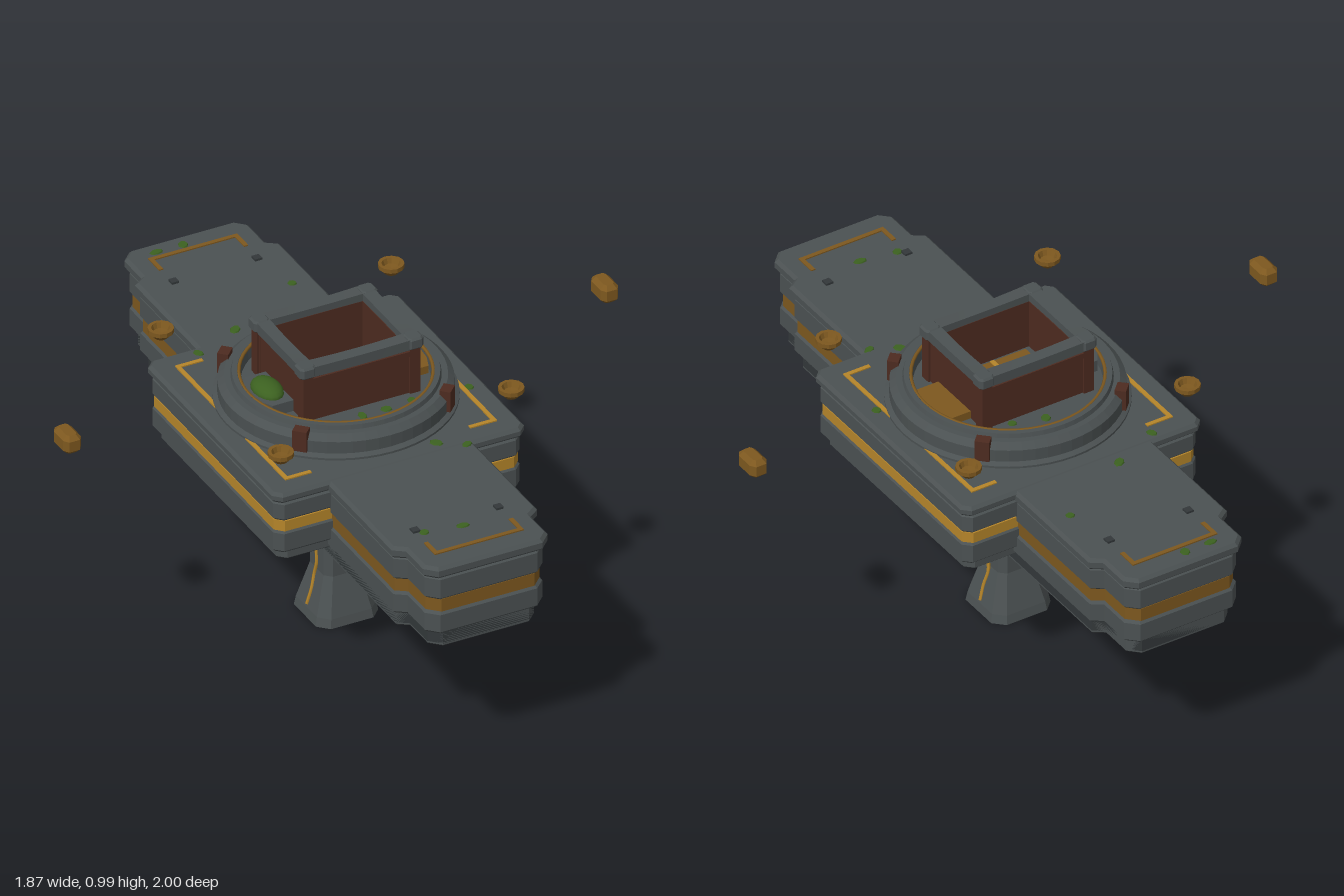
import * as THREE from 'three';

const mat = (name, color, extra = {}) => {
  const m = new THREE.MeshStandardMaterial({ color, ...extra });
  m.name = name;
  return m;
};

export function createModel() {
  const root = new THREE.Group();
  root.name = 'floatingShrine';
  const stone = mat('stone', 0x4b5152);
  const darkStone = mat('dark stone', 0x33383a);
  const gold = mat('gold', 0xb5852a);
  const bronze = mat('bronze', 0x7d581f);
  const rust = mat('rust', 0x4d2b20);
  const moss = mat('moss', 0x3c6120);
  const ringStone = mat('ring stone', 0x4a5051, { flatShading: true, side: THREE.DoubleSide });

  const add = (name, geo, m, x = 0, y = 0, z = 0, ry = 0) => {
    const mesh = new THREE.Mesh(geo, m);
    mesh.name = name;
    mesh.position.set(x, y, z);
    mesh.rotation.y = ry;
    root.add(mesh);
    return mesh;
  };
  const box = (name, m, w, h, d, x, y, z, ry = 0) =>
    add(name, new THREE.BoxGeometry(w, h, d), m, x, y, z, ry);

  // Mirror one quarter of a plan outline into all four quadrants
  const mirror = (q) => {
    const r = [...q].reverse();
    return [...q, ...r.map(([x, z]) => [-x, z]), ...q.map(([x, z]) => [-x, -z]), ...r.map(([x, z]) => [x, -z])];
  };
  // Horizontal slab with bevelled edges
  const slab = (name, m, pts, y0, y1, b = 0) => {
    const shape = new THREE.Shape(pts.map(([x, z]) => new THREE.Vector2(x, -z)));
    const geo = new THREE.ExtrudeGeometry(shape, {
      depth: y1 - y0 - 2 * b, bevelEnabled: b > 0, bevelSize: b, bevelThickness: b, bevelOffset: -b, bevelSegments: 1,
    });
    geo.rotateX(-Math.PI / 2);
    return add(name, geo, m, 0, y0 + b, 0);
  };
  const longPlan = (i) => mirror([[0.245 - i, 0.83 - i], [0.21 - i, 0.855 - i], [0.21 - i, 0.965 - i], [0.175 - i, 1 - i]]);
  const widePlan = (i) => mirror([[0.425 - i, 0.4 - i], [0.4 - i, 0.425 - i]]);

  // Long hull, stacked in layers
  slab('longCore', darkStone, longPlan(0.03), 0.46, 0.74);
  slab('longBase', stone, longPlan(0.03), 0.45, 0.51, 0.005);
  slab('longLower', stone, longPlan(0.012), 0.505, 0.585, 0.01);
  slab('longBand', bronze, longPlan(0.018), 0.583, 0.627);
  slab('longUpper', stone, longPlan(0.012), 0.625, 0.71, 0.01);
  slab('longCap', stone, longPlan(0), 0.71, 0.75, 0.01);

  // Wide middle block
  slab('wideCore', darkStone, widePlan(0.035), 0.505, 0.745);
  slab('wideBase', stone, widePlan(0.03), 0.5, 0.54, 0.005);
  slab('wideLower', stone, widePlan(0.01), 0.535, 0.615, 0.01);
  slab('wideBand', gold, widePlan(0.014), 0.612, 0.648);
  slab('wideUpper', stone, widePlan(0.01), 0.647, 0.718, 0.01);
  slab('wideCap', stone, widePlan(0), 0.718, 0.753, 0.01);

  // Inlaid lines and bolts on the deck
  for (const s of [-1, 1]) {
    box('endInlay', bronze, 0.3, 0.006, 0.014, 0, 0.751, s * 0.92);
    box('sideInlay', gold, 0.014, 0.006, 0.7, s * 0.35, 0.754, 0);
    for (const t of [-1, 1]) {
      box('endInlayLeg', bronze, 0.014, 0.006, 0.07, t * 0.143, 0.751, s * 0.89);
      box('sideInlayLeg', gold, 0.09, 0.006, 0.014, s * 0.312, 0.754, t * 0.35);
      box('deckBolt', darkStone, 0.024, 0.01, 0.024, t * 0.14, 0.752, s * 0.78);
    }
  }

  // Round collar with its sunken floor and bronze lip
  const profile = [[0.37, 0.745], [0.37, 0.76], [0.355, 0.768], [0.355, 0.808], [0.335, 0.826],
    [0.316, 0.826], [0.312, 0.84], [0.296, 0.84], [0.29, 0.834], [0.285, 0.8], [0, 0.8]];
  add('collar', new THREE.LatheGeometry(profile.map(([x, y]) => new THREE.Vector2(x, y)), 56), ringStone);
  const lip = new THREE.TorusGeometry(0.291, 0.006, 6, 56);
  lip.rotateX(Math.PI / 2);
  add('collarLip', lip, bronze, 0, 0.836, 0);
  for (let k = 0; k < 4; k++) {
    const a = Math.PI / 4 + k * Math.PI / 2;
    box('collarClamp', rust, 0.035, 0.07, 0.045, 0.348 * Math.cos(a), 0.806, 0.348 * Math.sin(a), -a);
  }

  // Chest walls and corner posts
  for (const s of [-1, 1]) {
    box('chestLongWall', rust, 0.38, 0.165, 0.035, 0, 0.8825, s * 0.143);
    box('chestShortWall', rust, 0.035, 0.165, 0.26, s * 0.172, 0.8825, 0);
    box('chestTrim', rust, 0.38, 0.018, 0.01, 0, 0.94, s * 0.162);
    for (const t of [-1, 1]) box('chestPost', rust, 0.035, 0.165, 0.035, s * 0.18, 0.8825, t * 0.15);
  }
  // Worn rim: beams that sag in the middle, with corner blocks
  const beam = (len) => {
    const g = new THREE.BoxGeometry(len, 0.034, 0.046, 6, 1, 1);
    const p = g.attributes.position;
    for (let i = 0; i < p.count; i++) {
      const sag = Math.cos(p.getX(i) / len * Math.PI);
      p.setY(i, p.getY(i) - 0.004 * sag);
      p.setZ(i, p.getZ(i) * (1 - 0.1 * sag));
    }
    g.computeVertexNormals();
    return g;
  };
  for (const s of [-1, 1]) {
    add('rimLong', beam(0.39), stone, 0, 0.975, s * 0.148);
    add('rimShort', beam(0.32), stone, s * 0.178, 0.975, 0, Math.PI / 2);
    for (const t of [-1, 1]) {
      const c = mirror([[0.027, 0.017], [0.017, 0.027]]).map(([x, z]) => [x + s * 0.181, z + t * 0.148]);
      slab('rimCorner', stone, c, 0.955, 0.994, 0.006);
    }
  }

  // Chest floor plate running out to one side, and a mossy step opposite
  slab('floorPlate', bronze, [[-0.12, -0.09], [0.265, -0.09], [0.282, -0.045], [0.286, 0], [0.282, 0.045], [0.265, 0.09], [-0.12, 0.09]], 0.798, 0.826);
  box('floorSeam', gold, 0.014, 0.006, 0.18, 0, 0.826, 0);
  slab('mossStep', stone, [[-0.18, -0.09], [-0.18, 0.09], [-0.26, 0.09], [-0.285, 0.05], [-0.285, -0.05], [-0.26, -0.09]], 0.798, 0.838);
  add('mossMound', new THREE.SphereGeometry(1, 16, 10), moss, -0.232, 0.838, 0).scale.set(0.045, 0.03, 0.068);

  // Pedestal: chamfered square sections from foot to hull
  const sections = [[0, 0.105], [0.03, 0.1], [0.155, 0.065], [0.46, 0.065]];
  const pos = [];
  const rings = sections.map(([y, h]) => mirror([[h, h * 0.68], [h * 0.68, h]]).map(([x, z]) => [x, y, z]));
  for (let r = 0; r < rings.length - 1; r++) {
    for (let i = 0; i < 8; i++) {
      const j = (i + 1) % 8;
      const a = rings[r][i], b = rings[r][j], c = rings[r + 1][j], d = rings[r + 1][i];
      pos.push(...a, ...c, ...b, ...a, ...d, ...c);
    }
  }
  for (let i = 1; i < 7; i++) pos.push(...rings[0][0], ...rings[0][i], ...rings[0][i + 1]);
  const stalk = new THREE.BufferGeometry();
  stalk.setAttribute('position', new THREE.Float32BufferAttribute(pos, 3));
  stalk.computeVertexNormals();
  add('pedestal', stalk, stone);
  for (const s of [-1, 1]) {
    for (const t of [-1, 1]) box('pedestalClamp', rust, 0.026, 0.045, 0.026, s * 0.055, 0.43, t * 0.055);
    // Gold crack up each side of the pedestal
    const crack = new THREE.CatmullRomCurve3([[0.098, 0.04, 0], [0.084, 0.09, 0.003], [0.071, 0.14, -0.003], [0.067, 0.18, 0.004], [0.066, 0.23, -0.002]]
      .map(([x, y, z]) => new THREE.Vector3(s * x, y, z)));
    add('pedestalCrack', new THREE.TubeGeometry(crack, 12, 0.006, 5), gold);
  }

  // Hovering cups over the corners and hovering nuggets at the sides
  const cup = [[0, 0.85], [0.02, 0.85], [0.034, 0.866], [0.04, 0.87], [0.04, 0.884], [0.029, 0.884], [0.022, 0.868], [0, 0.866]];
  const bronzeFaceted = mat('bronze', 0x7d581f, { flatShading: true, side: THREE.DoubleSide });
  const cupGeo = new THREE.LatheGeometry(cup.map(([x, y]) => new THREE.Vector2(x, y)), 12);
  for (const s of [-1, 1]) {
    for (const t of [-1, 1]) add('hoveringCup', cupGeo, bronzeFaceted, s * 0.388, 0, t * 0.388);
    const n = mirror([[0.03, 0.03], [0.018, 0.048]]).map(([x, z]) => [x + s * 0.905, z]);
    slab('hoveringNugget', bronze, n, 0.83, 0.893, 0.014);
  }

  // Moss patches: [x, z, top height]
  const patches = [[-0.11, -0.95, 0.75], [-0.02, -0.95, 0.75], [0.17, -0.61, 0.75], [-0.1, -0.46, 0.75], [-0.26, -0.39, 0.753],
    [0.37, 0.15, 0.753], [-0.02, 0.21, 0.8], [0.06, 0.21, 0.8], [0.15, 0.2, 0.8], [0.14, 0.38, 0.753], [0.22, 0.425, 0.75],
    [-0.12, 0.8, 0.75], [0, 0.82, 0.75], [0, -0.21, 0.8], [0.1, -0.18, 0.8]];
  patches.forEach(([x, z, y], i) => {
    const p = add('mossPatch', new THREE.CylinderGeometry(0.8, 1, 1, 7), moss, x, y + 0.001, z, i * 1.3);
    p.scale.set(0.024 - 0.004 * (i % 3), 0.006, 0.014 + 0.003 * (i % 2));
  });
  return root;
}
